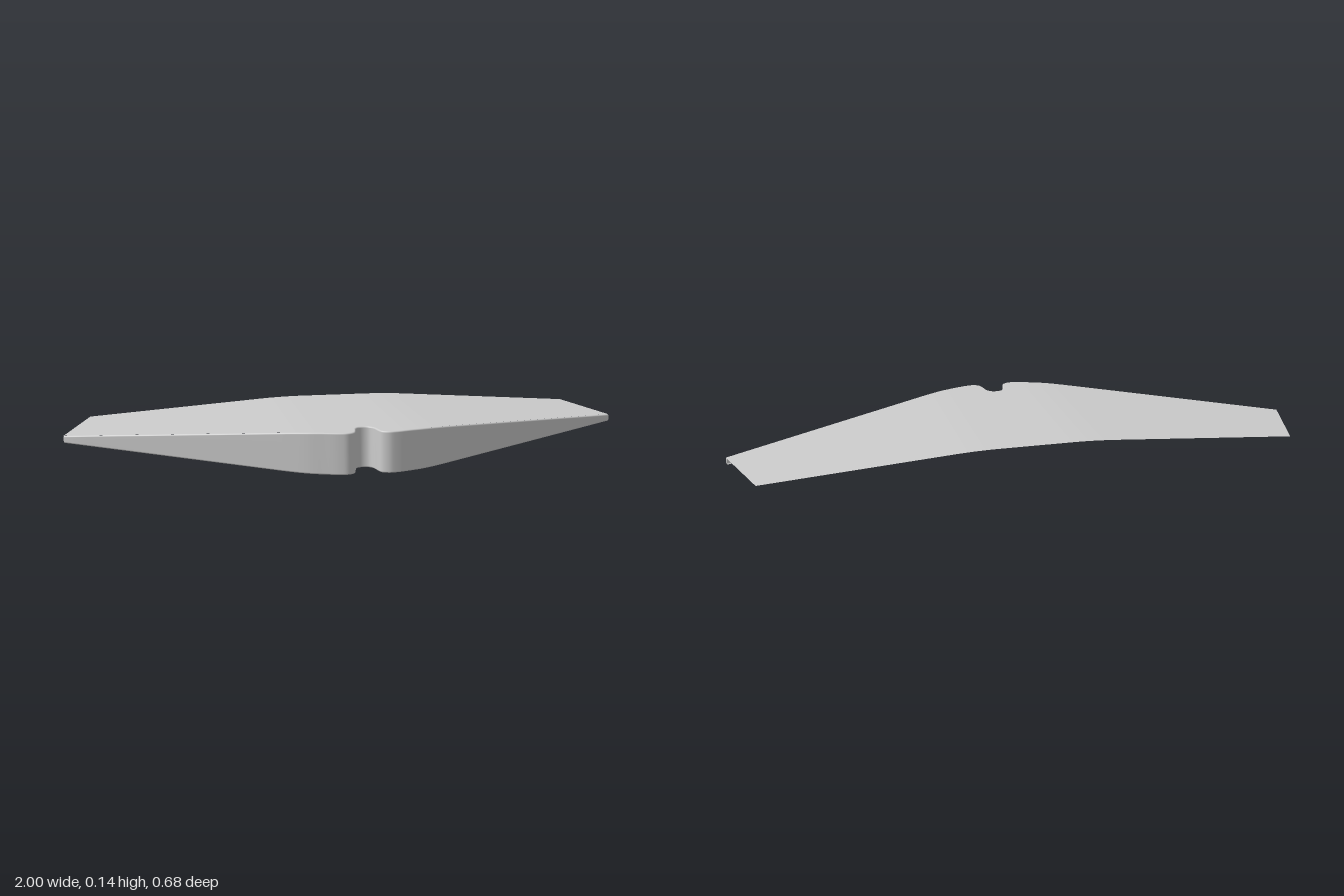
import * as THREE from 'three';

const TIP_Z = -0.05, BACK_Z = -0.34, BACK_X = 0.915, R = 0.005;

// height lost towards the tip: flat centre, soft bend, then straight
function drop(x, total) {
  const a = 0.12, b = 0.28, s = total / (1 - (a + b) / 2), d = Math.abs(x);
  if (d < a) return 0;
  return d < b ? s * (d - a) ** 2 / (2 * (b - a)) : s * (d - (a + b) / 2);
}
const topY = x => 0.142 - drop(x, 0.057);
const bottomY = x => drop(x, 0.06);

// plan outline of the leading edge, left to right, as [x, z]
function leadingEdge() {
  const half = [[0, 0.246], [0.018, 0.251], [0.03, 0.268], [0.037, 0.3], [0.046, 0.326],
    [0.07, 0.338], [0.1, 0.335], [0.15, 0.32], [0.2, 0.304], [0.28, 0.27]];
  const all = [...half.slice(1).reverse().map(([x, z]) => [-x, z]), ...half];
  const curve = new THREE.CatmullRomCurve3(all.map(([x, z]) => new THREE.Vector3(x, 0, z)));
  const middle = curve.getPoints(108).map(p => [p.x, p.z]);
  const wing = [[0.6, TIP_Z + 0.178], [BACK_X, TIP_Z + 0.038], [1, TIP_Z]];
  return [...wing.map(([x, z]) => [-x, z]).reverse(), ...middle, ...wing];
}

// shift an outline inwards by distance d
function inset(points, d) {
  return points.map(([x, z], i) => {
    const p = points[Math.max(i - 1, 0)], q = points[Math.min(i + 1, points.length - 1)];
    const dx = q[0] - p[0], dz = q[1] - p[1], l = Math.hypot(dx, dz);
    return [x + dz / l * d, z - dx / l * d];
  });
}

// smooth surface through rows of [x, y, z] points
function surface(name, rows) {
  const n = rows[0].length, index = [];
  for (let r = 0; r < rows.length - 1; r++) {
    for (let c = 0; c < n - 1; c++) {
      const a = r * n + c, b = a + n;
      index.push(a, b, b + 1, a, b + 1, a + 1);
    }
  }
  const geometry = new THREE.BufferGeometry();
  geometry.setAttribute('position', new THREE.Float32BufferAttribute(rows.flat(2), 3));
  geometry.setIndex(index);
  geometry.computeVertexNormals();
  const material = new THREE.MeshStandardMaterial({ color: 0xcccccc, side: THREE.DoubleSide });
  const mesh = new THREE.Mesh(geometry, material);
  mesh.name = name;
  return mesh;
}

export function createModel() {
  const group = new THREE.Group();
  group.name = 'wingPanel';
  const edge = leadingEdge();

  // top skin, from the trailing edge to the inset leading edge
  const front = inset(edge, R);
  front[0] = [-1, TIP_Z - R];
  front[front.length - 1] = [1, TIP_Z - R];
  const backZ = x => {
    const t = Math.max(0, (Math.abs(x) - BACK_X) / (1 - BACK_X));
    return BACK_Z + t * (TIP_Z - R - BACK_Z);
  };
  // an extra column keeps the rear corners sharp
  for (const s of [-1, 1]) front.push([s * BACK_X, TIP_Z + 0.033]);
  front.sort((a, b) => a[0] - b[0]);
  group.add(surface('topSkin', [
    front.map(([x]) => [x, topY(x), backZ(x)]),
    front.map(([x, z]) => [x, topY(x), z]),
  ]));

  // front wall with rounded upper and lower edges and a short return at each tip
  const wall = [[-0.997, TIP_Z - 0.01], ...edge, [0.997, TIP_Z - 0.01]];
  const arc = [0, 0.25, 0.5, 0.75, 1].map(t => {
    const a = t * Math.PI / 2;
    return [R * (1 - Math.sin(a)), R * (1 - Math.cos(a))];
  });
  const row = (d, y) => inset(wall, d).map(([x, z], i) => [x, y(wall[i][0]), z]);
  group.add(surface('frontWall', [
    ...arc.map(([d, h]) => row(d, x => topY(x) - h)),
    ...arc.reverse().map(([d, h]) => row(d, x => bottomY(x) + h)),
  ]));
  return group;
}
